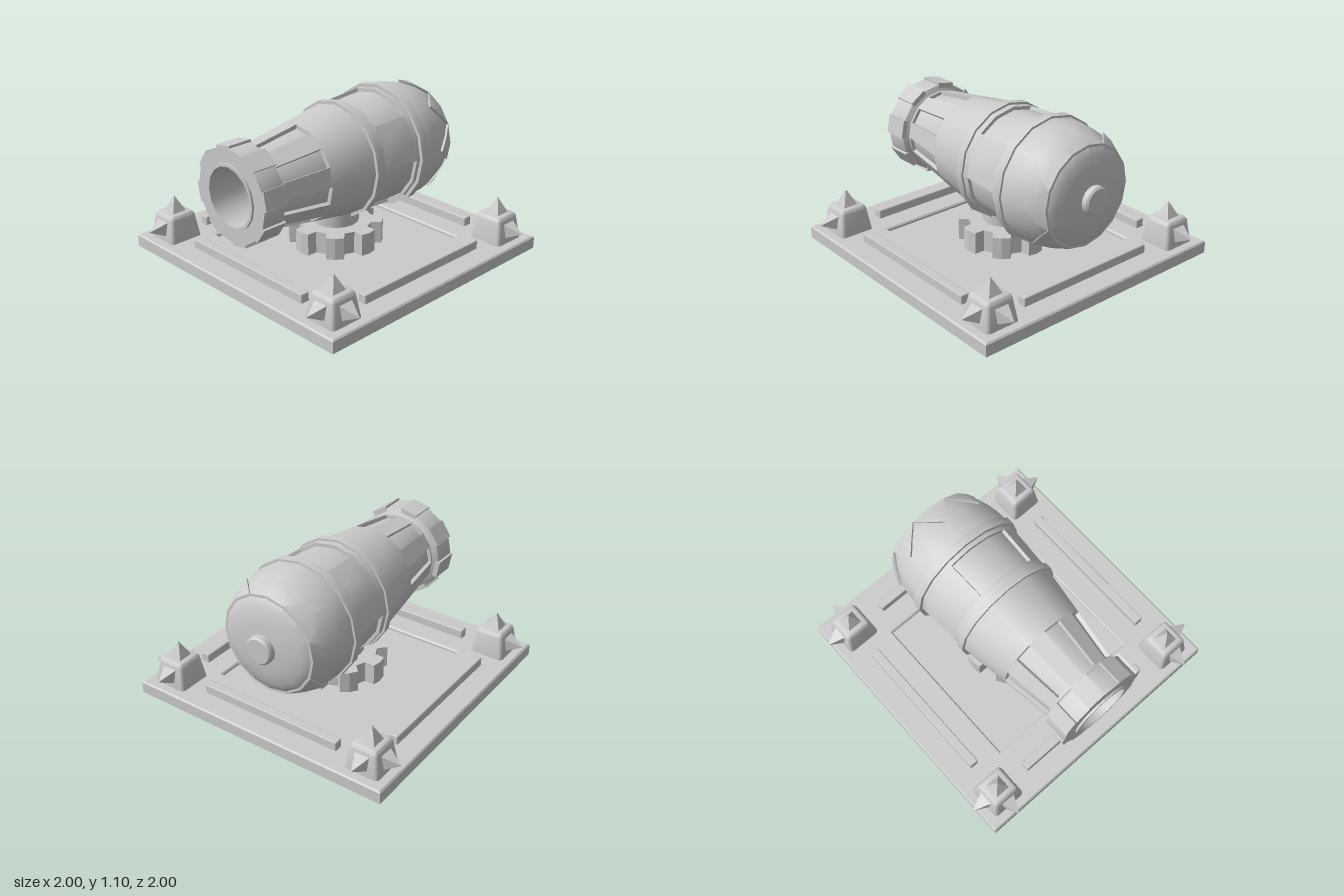
import * as THREE from 'three';
import { mergeGeometries, toCreasedNormals } from 'three/addons/utils/BufferGeometryUtils.js';
import { RoundedBoxGeometry } from 'three/addons/geometries/RoundedBoxGeometry.js';

const STEP = Math.PI / 8; // the barrel has 16 sides
const material = new THREE.MeshStandardMaterial({ color: 0xcccccc, side: THREE.DoubleSide });
const vec = (pts) => pts.map(([r, z]) => new THREE.Vector2(r, z));

function add(parent, name, geometry, x = 0, y = 0, z = 0) {
  const mesh = new THREE.Mesh(geometry, material);
  mesh.name = name;
  mesh.position.set(x, y, z);
  parent.add(mesh);
  return mesh;
}

// Solid wedge: a closed [radius, z] profile swept over n sides from side k
function sector(pts, k, n) {
  const start = k * STEP + Math.PI / 2;
  const lathe = new THREE.LatheGeometry(vec([...pts, pts[0]]), n, start, n * STEP);
  const caps = [start, start + n * STEP].map((phi) =>
    new THREE.ShapeGeometry(new THREE.Shape(vec(pts))).rotateY(phi - Math.PI / 2));
  return toCreasedNormals(mergeGeometries([lathe, ...caps]), 0.6).rotateX(Math.PI / 2);
}

// Dome profile, back to front
const dome = [[0, -0.835], [0.15, -0.832], [0.22, -0.82], [0.28, -0.805], [0.33, -0.78],
  [0.375, -0.7], [0.4, -0.62], [0.415, -0.54], [0.42, -0.45]];

function domeRadius(z) {
  const i = Math.max(1, dome.findIndex((p) => p[1] >= z));
  const [r0, z0] = dome[i - 1], [r1, z1] = dome[i];
  return r0 + (r1 - r0) * (z - z0) / (z1 - z0);
}

// Raised triangular plate hugging the dome, tip towards the front
function petal(k) {
  const cols = [[-1, -0.01], [-1, 0.018], [0, 0.018], [1, 0.018], [1, -0.01]];
  const rows = [0, 0, 0.25, 0.5, 0.75, 1];
  const pos = [], index = [];
  rows.forEach((t, j) => {
    const z = -0.78 + 0.17 * t;
    for (const [s, lift] of cols) {
      const r = domeRadius(z) + (j === 0 ? -0.01 : lift);
      const w = Math.abs(s) * (1 - t), a = k * STEP, b = (k + s) * STEP;
      pos.push(r * ((1 - w) * Math.cos(a) + w * Math.cos(b)),
        r * ((1 - w) * Math.sin(a) + w * Math.sin(b)), z);
    }
  });
  for (let j = 0; j < rows.length - 1; j++) {
    for (let i = 0; i < 4; i++) {
      const a = j * 5 + i, b = a + 1, c = a + 5, d = a + 6;
      index.push(a, b, d, a, d, c);
    }
  }
  const g = new THREE.BufferGeometry();
  g.setAttribute('position', new THREE.Float32BufferAttribute(pos, 3));
  g.setIndex(index);
  return toCreasedNormals(g, 0.6);
}

function makeBarrel() {
  const barrel = new THREE.Group();
  barrel.name = 'barrel';
  barrel.position.y = 0.66;

  // Core with sunken zones for the windows and slots, then muzzle and bore
  const profile = [...dome,
    [0.435, -0.45], [0.435, -0.39], [0.41, -0.39], [0.41, -0.36], [0.385, -0.36],
    [0.368, -0.085], [0.392, -0.085], [0.392, -0.04], [0.407, -0.04], [0.407, 0.01],
    [0.385, 0.01], [0.335, 0.35], [0.305, 0.35], [0.255, 0.7], [0.28, 0.7], [0.28, 0.715],
    [0.318, 0.735], [0.318, 0.9], [0.22, 0.9], [0.22, 0.915], [0.2, 0.915], [0.2, 0.2], [0, 0.2]];
  const core = new THREE.LatheGeometry(vec(profile), 16, Math.PI / 2);
  add(barrel, 'barrelCore', toCreasedNormals(core, 0.6).rotateX(Math.PI / 2));

  // Outer skin left standing between three windows
  const skin = [[0.35, -0.365], [0.41, -0.365], [0.392, -0.08], [0.35, -0.08]];
  for (const [k, n] of [[0, 2], [5, 3], [11, 2]]) add(barrel, 'windowSkin', sector(skin, k, n));

  // Ribs between the slots, and blocks around the muzzle
  const rib = [[0.24, 0.705], [0.24, 0.345], [0.335, 0.345], [0.28, 0.705]].reverse();
  rib.reverse();
  const block = [[0.28, 0.725], [0.335, 0.725], [0.335, 0.9], [0.28, 0.9]];
  for (let k = 0; k < 16; k += 2) {
    add(barrel, 'slotRib', sector(rib, k, 1));
    add(barrel, 'muzzleBlock', sector(block, k, 1));
    add(barrel, 'rearPetal', petal(k));
  }

  // Rear knob
  const knob = new THREE.LatheGeometry(
    vec([[0, -0.882], [0.085, -0.882], [0.097, -0.87], [0.097, -0.82]]), 16);
  add(barrel, 'rearKnob', toCreasedNormals(knob, 0.6).rotateX(Math.PI / 2));
  return barrel;
}

function spike(height) {
  const g = new THREE.ConeGeometry(0.055 * Math.SQRT2, height, 4).rotateY(Math.PI / 4);
  return toCreasedNormals(g.translate(0, height / 2, 0), 0.3);
}

// Tapered corner post with a spike on top and on both outer sides
function makePost(sx, sz) {
  const post = new THREE.Group();
  post.name = 'cornerPost';
  post.position.set(0.78 * sx, 0, 0.78 * sz);
  const body = new RoundedBoxGeometry(0.26, 0.215, 0.26, 2, 0.03);
  const p = body.attributes.position;
  for (let i = 0; i < p.count; i++) {
    const s = 1 - 0.26 * (p.getY(i) / 0.215 + 0.5);
    p.setX(i, p.getX(i) * s);
    p.setZ(i, p.getZ(i) * s);
  }
  add(post, 'postBody', toCreasedNormals(body, 0.6), 0, 0.1675, 0);
  add(post, 'topSpike', spike(0.115), 0, 0.27, 0);
  add(post, 'sideSpike', spike(0.125), 0.095 * sx, 0.175, 0).rotation.z = -sx * Math.PI / 2;
  add(post, 'endSpike', spike(0.125), 0, 0.175, 0.095 * sz).rotation.x = sz * Math.PI / 2;
  return post;
}

function square(h, Type) {
  return new Type(vec([[-h, -h], [h, -h], [h, h], [-h, h]]));
}

export function createModel() {
  const model = new THREE.Group();
  model.name = 'cannon';

  // Base slab with a raised frame around a sunken square floor
  add(model, 'baseSlab', new THREE.BoxGeometry(1.94, 0.065, 1.94), 0, 0.0325, 0);
  const frame = square(0.97, THREE.Shape);
  frame.holes.push(square(0.585, THREE.Path));
  add(model, 'baseFrame', new THREE.ExtrudeGeometry(frame, {
    depth: 0.03, bevelThickness: 0.01, bevelSize: 0.01, bevelOffset: -0.01, bevelSegments: 1,
  }).rotateX(-Math.PI / 2), 0, 0.05, 0);

  // Rails and corner posts
  for (const s of [-1, 1]) {
    add(model, 'sideRail', new RoundedBoxGeometry(0.065, 0.09, 1.08, 1, 0.008), 0.78 * s, 0.107, 0);
    add(model, 'endRail', new RoundedBoxGeometry(1.07, 0.09, 0.065, 1, 0.008), 0, 0.107, 0.78 * s);
    for (const t of [-1, 1]) model.add(makePost(s, t));
  }

  // Toothed turntable and its column
  const outline = [];
  for (let i = 0; i < 8; i++) {
    for (const [r, da] of [[0.25, -0.25], [0.32, -0.19], [0.325, 0], [0.32, 0.19], [0.25, 0.25]]) {
      const a = i * Math.PI / 4 + da;
      outline.push([r * Math.cos(a), r * Math.sin(a)]);
    }
  }
  add(model, 'turntableGear', new THREE.ExtrudeGeometry(new THREE.Shape(vec(outline)),
    { depth: 0.16, bevelEnabled: false }).rotateX(-Math.PI / 2), 0, 0.06, 0);
  add(model, 'turntableColumn', new THREE.CylinderGeometry(0.16, 0.16, 0.2, 16), 0, 0.31, 0);

  model.add(makeBarrel());
  return model;
}
